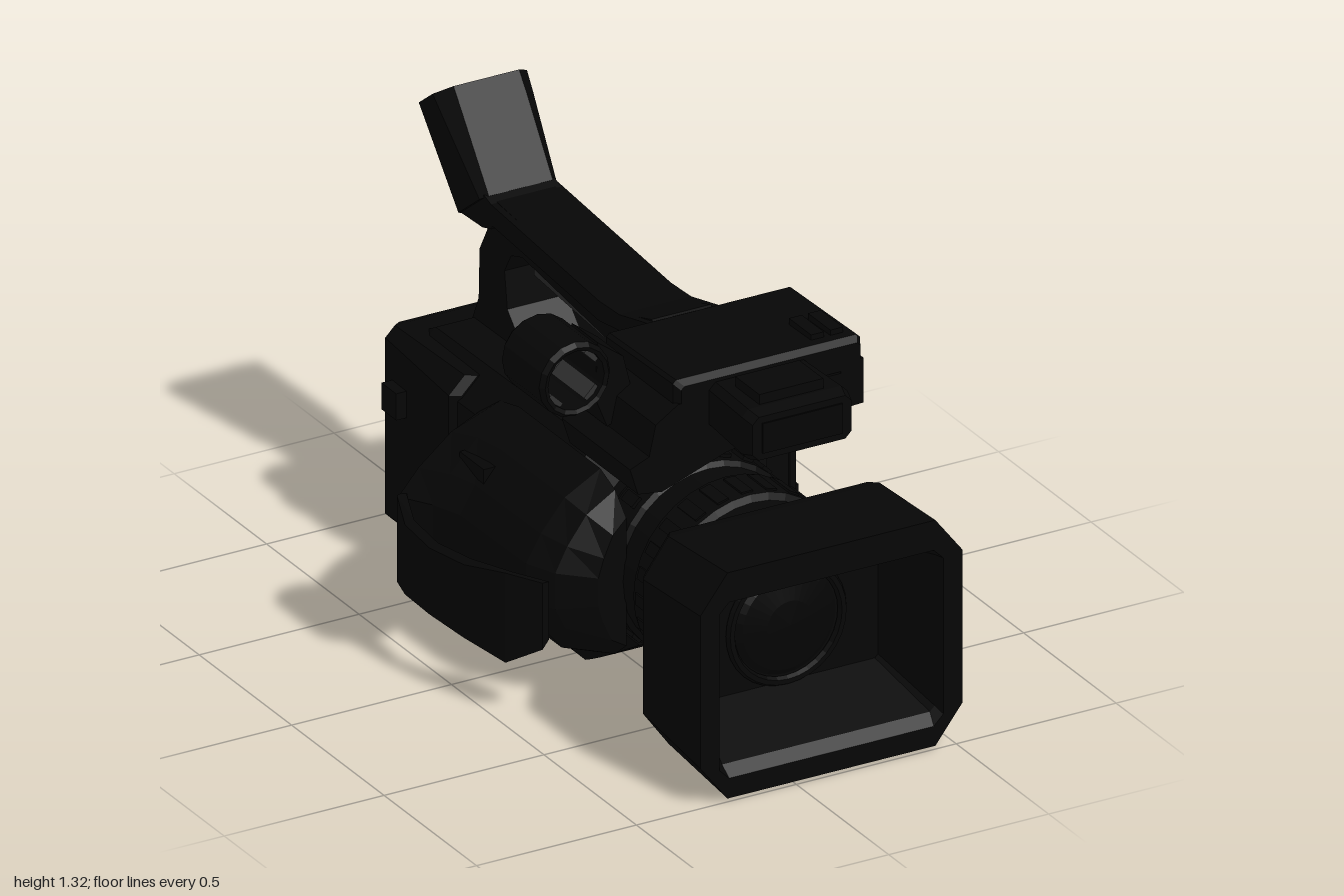
import * as THREE from 'three';

const mat = (name, color) => {
  const m = new THREE.MeshStandardMaterial({ color, flatShading: true });
  m.name = name;
  return m;
};

export function createModel() {
  const root = new THREE.Group();
  const black = mat('black plastic', 0x060606);
  const dark = mat('dark trim', 0x050505);
  const glass = mat('lens glass', 0x040404);
  const grey = mat('grey trim', 0x323232);

  const add = (name, geo, m = black, x = 0, y = 0, z = 0) => {
    const mesh = new THREE.Mesh(geo, m);
    mesh.name = name;
    mesh.position.set(x, y, z);
    root.add(mesh);
    return mesh;
  };
  // Box given by its extents
  const box = (name, x0, x1, y0, y1, z0, z1, m = black) =>
    add(name, new THREE.BoxGeometry(x1 - x0, y1 - y0, z1 - z0), m, (x0 + x1) / 2, (y0 + y1) / 2, (z0 + z1) / 2);

  // Rectangle with cut corners, counter-clockwise seen from the front
  const oct = (z, x0, x1, y0, y1, c, d = c) => [
    [x0 + c, y0, z], [x1 - c, y0, z], [x1, y0 + d, z], [x1, y1 - d, z],
    [x1 - c, y1, z], [x0 + c, y1, z], [x0, y1 - d, z], [x0, y0 + d, z]];
  // Skin over a row of rings, closed at both ends
  const loft = (rings) => {
    const pos = [];
    const tri = (a, b, c) => pos.push(...a, ...b, ...c);
    const n = rings[0].length;
    for (let i = 0; i < rings.length - 1; i++) {
      for (let j = 0; j < n; j++) {
        const k = (j + 1) % n, p = rings[i], q = rings[i + 1];
        tri(p[j], p[k], q[k]);
        tri(p[j], q[k], q[j]);
      }
    }
    const first = rings[0], last = rings[rings.length - 1];
    for (let j = 1; j < n - 1; j++) {
      tri(first[0], first[j + 1], first[j]);
      tri(last[0], last[j], last[j + 1]);
    }
    const g = new THREE.BufferGeometry();
    g.setAttribute('position', new THREE.Float32BufferAttribute(pos, 3));
    g.computeVertexNormals();
    return g;
  };
  const shapeOf = (pts) => new THREE.Shape(pts.map((p) => new THREE.Vector2(p[0], p[1])));
  // Side outline [z, y] extruded across x
  const acrossX = (pts, x0, x1) =>
    new THREE.ExtrudeGeometry(shapeOf(pts), { depth: x1 - x0, bevelEnabled: false }).rotateY(-Math.PI / 2).translate(x1, 0, 0);
  // Front outline [x, y] extruded along z
  const alongZ = (pts, z0, z1) =>
    new THREE.ExtrudeGeometry(shapeOf(pts), { depth: z1 - z0, bevelEnabled: false }).translate(0, 0, z0);
  // Profile [radius, z] turned around the z axis
  const turned = (pts, n) =>
    new THREE.LatheGeometry(pts.map((p) => new THREE.Vector2(p[0], p[1])), n).rotateX(Math.PI / 2);

  // Main body
  add('body', loft([
    oct(-0.83, -0.19, 0.50, 0.06, 0.62, 0.08), oct(-0.76, -0.2, 0.51, 0, 0.66, 0.09),
    oct(0.05, -0.2, 0.51, 0, 0.67, 0.09), oct(0.09, -0.2, 0.51, 0.02, 0.66, 0.09),
    oct(0.11, -0.19, 0.42, 0.03, 0.65, 0.1), oct(0.17, -0.17, 0.39, 0.07, 0.645, 0.16)]));
  add('battery', loft([
    oct(-0.89, -0.18, 0.24, 0.06, 0.63, 0.03), oct(-0.86, -0.21, 0.28, 0.05, 0.64, 0.03),
    oct(-0.5, -0.22, 0.28, 0.05, 0.64, 0.05), oct(-0.48, -0.19, 0.28, 0.05, 0.64, 0.05)]));
  box('rearPanel', 0.28, 0.515, 0.1, 0.56, -0.82, -0.78, dark);
  box('rearSeam', -0.1, 0.18, 0.12, 0.52, -0.895, -0.88, dark);
  box('strapLug', -0.245, -0.2, 0.42, 0.5, -0.82, -0.74);
  box('sidePanel', 0.5, 0.52, 0.12, 0.53, -0.5, 0.1);
  box('screenDoor', 0.5, 0.526, 0.28, 0.47, -0.48, -0.14, dark);
  box('screenInset', 0.5, 0.531, 0.3, 0.45, -0.33, -0.14);
  for (const y of [0.43, 0.33]) {
    add('sideButton', new THREE.CylinderGeometry(0.03, 0.03, 0.02, 16).rotateZ(Math.PI / 2), black, 0.522, y, -0.41);
  }
  for (const z of [0.07, -0.02]) box('sideSwitch', 0.51, 0.533, 0.35, 0.39, z - 0.02, z + 0.02, dark);

  // Lens barrel with stepped rings
  const lx = 0.11, ly = 0.37;
  add('lensBarrel', turned([
    [0, 0.05], [0.26, 0.05], [0.26, 0.14], [0.275, 0.14], [0.275, 0.17], [0.25, 0.17], [0.25, 0.21],
    [0.285, 0.22], [0.285, 0.32], [0.27, 0.33], [0.27, 0.42], [0.29, 0.43], [0.29, 0.56],
    [0.27, 0.57], [0.26, 0.7], [0, 0.7]], 32), black, lx, ly);
  for (let i = 0; i < 24; i++) {
    const a = (i / 24) * Math.PI * 2;
    for (const [z, d] of [[0.495, 0.1], [0.27, 0.06]]) {
      const rib = add('ringRib', new THREE.BoxGeometry(0.02, 0.035, d), black,
        lx + Math.cos(a) * 0.284, ly + Math.sin(a) * 0.284, z);
      rib.rotation.z = a;
    }
  }

  // Rectangular hood, hollow at the front
  add('lensHood', loft([
    oct(0.66, -0.28, 0.5, 0.055, 0.665, 0.08, 0.11), oct(0.69, -0.3, 0.52, 0.045, 0.67, 0.08, 0.11),
    oct(1, -0.3, 0.52, 0.01, 0.69, 0.085, 0.11), oct(1, -0.24, 0.46, 0.07, 0.6, 0.03),
    oct(0.97, -0.23, 0.45, 0.1, 0.585, 0.015), oct(0.75, -0.17, 0.4, 0.18, 0.54, 0.01)]));
  add('lensRim', new THREE.TorusGeometry(0.175, 0.014, 6, 32), black, lx, ly - 0.01, 0.755);
  add('frontLens', turned([[0.165, 0.745], [0.14, 0.762], [0.07, 0.775], [0, 0.78]], 32), glass, lx, ly - 0.01);

  // Hand grip on the right side
  const gripSide = [[-0.15, 0.65], [-0.27, 0.59], [-0.35, 0.5], [-0.4, 0.42], [-0.4, 0.3], [-0.36, 0.23], [-0.28, 0.14], [-0.15, 0.1]];
  add('handGrip', loft([[-0.4, 0.65, 0.8], [-0.34, 1.28, 0.92], [-0.24, 1.08, 1], [-0.15, 0.95, 1], [0.2, 0.93, 1],
    [0.28, 0.75, 0.9], [0.34, 0.35, 0.7]].map(([z, sx, sy]) =>
    gripSide.map(([x, y]) => [-0.15 + (x + 0.15) * sx, 0.35 + (y - 0.35) * sy, z]))));
  box('gripControl', -0.33, -0.28, 0.5, 0.555, -0.25, -0.12, dark);

  // Strap band around the hand, narrowing toward its outermost point and its ends
  const outer = [[-0.4, 0.32], [-0.47, 0.24], [-0.52, 0.1], [-0.54, -0.05], [-0.53, -0.2], [-0.48, -0.33], [-0.4, -0.37]];
  const inner = outer.map(([x, z]) => [x + 0.025, z * 0.97]).reverse();
  const strap = new THREE.ExtrudeGeometry(shapeOf([...outer, ...inner].map(([x, z]) => [x, -z])),
    { depth: 1, bevelEnabled: false }).rotateX(-Math.PI / 2);
  const sp = strap.attributes.position;
  for (let i = 0; i < sp.count; i++) {
    const t = Math.max(0, -0.47 - sp.getX(i)) / 0.07;
    const s = Math.max(0, sp.getX(i) + 0.47) / 0.1;
    sp.setY(i, sp.getY(i) > 0.5 ? 0.43 - 0.03 * t - 0.02 * s : 0.16 + 0.04 * t + 0.08 * s);
  }
  strap.computeVertexNormals();
  add('handStrap', strap);

  // Carrying handle with finger opening
  add('carryHandle', acrossX([
    [0.05, 0.63], [0.2, 0.84], [0.27, 0.86], [0.27, 1.03], [0.2, 1.06], [0.06, 1.015], [-0.05, 1.01], [-0.64, 1.06],
    [-0.68, 0.97], [-0.73, 0.88], [-0.735, 0.73], [-0.78, 0.63], [-0.46, 0.63],
    [-0.5, 0.68], [-0.58, 0.76], [-0.595, 0.87], [-0.56, 0.93], [-0.5, 0.95], [-0.05, 0.9],
    [0.05, 0.9], [0.09, 0.87], [0.09, 0.83], [-0.04, 0.66], [-0.04, 0.63]], 0.01, 0.195));
  add('handleTop', acrossX([[0.24, 1], [0.24, 1.065], [0.06, 1.02], [-0.05, 1.015], [-0.66, 1.06],
    [-0.68, 1], [-0.05, 0.955]], -0.01, 0.215));
  add('handlePad', acrossX([[-0.06, 0.875], [-0.06, 0.92], [-0.47, 0.955], [-0.47, 0.905]], 0.03, 0.2), grey);

  // Viewfinder, tilted up at the back
  add('viewfinderNeck', acrossX([[-0.61, 1.05], [-0.63, 0.985], [-0.68, 0.97], [-0.8, 0.965], [-0.78, 1.05], [-0.67, 1.07]], -0.01, 0.21));
  const eye = add('viewfinder', loft([
    oct(0.02, -0.12, 0.12, -0.09, 0.094, 0.02), oct(0.27, -0.14, 0.145, -0.092, 0.092, 0.04),
    oct(0.335, -0.145, 0.15, -0.092, 0.092, 0.045), oct(0.335, -0.09, 0.09, -0.05, 0.05, 0.02),
    oct(0.3, -0.07, 0.07, -0.04, 0.04, 0.01)]), black, 0.1, 0.998, -0.722);
  eye.rotation.x = -2.228;
  const pane = add('viewfinderGlass', new THREE.PlaneGeometry(0.1, 0.05), glass, 0.1, 0.998 + 0.302 * 0.791, -0.722 - 0.302 * 0.612);
  pane.rotation.x = -2.228;

  // Control head at the front of the handle
  add('headTop', loft([oct(0.24, -0.155, 0.43, 0.995, 1.075, 0.01), oct(0.6, -0.155, 0.43, 0.995, 1.085, 0.01),
    oct(0.62, -0.14, 0.42, 0.995, 1.07, 0.01)]));
  add('headLower', alongZ([[-0.3, 0.86], [-0.275, 0.78], [-0.2, 0.77], [0, 0.84], [0.2, 0.875], [0.43, 0.885],
    [0.43, 1.02], [0.36, 1.02], [0.36, 0.99], [0.27, 0.99], [0.27, 1.02], [-0.15, 1.02], [-0.22, 0.975], [-0.24, 0.885]], 0.25, 0.62));
  for (const x of [0.315, 0.375]) box('headKnob', x - 0.02, x + 0.02, 1.06, 1.1, 0.45, 0.57);
  add('microphoneBlock', loft([oct(0.55, -0.05, 0.26, 0.92, 1.06, 0.02), oct(0.81, -0.06, 0.27, 0.91, 1.06, 0.02),
    oct(0.85, -0.05, 0.26, 0.92, 1.05, 0.02)]));
  box('microphoneCap', 0, 0.2, 1.04, 1.09, 0.67, 0.8);
  box('microphoneGrille', -0.02, 0.23, 0.94, 1.03, 0.845, 0.855, dark);

  // Ring holder for an outside microphone
  const mx = -0.37, my = 1.075;
  add('microphoneArm', alongZ([[-0.29, 0.99], [-0.25, 0.89], [-0.16, 0.93], [-0.2, 1.09], [-0.28, 1.15]], 0.27, 0.41));
  add('microphoneRing', turned([[0.088, 0.23], [0.1, 0.225], [0.111, 0.24], [0.111, 0.44], [0.1, 0.455], [0.088, 0.45],
    [0.088, 0.23]], 16), black, mx, my);
  for (let i = 0; i < 4; i++) {
    const a = Math.PI / 4 + (i * Math.PI) / 2;
    const pad = add('ringPad', new THREE.BoxGeometry(0.02, 0.05, 0.19), grey, mx + Math.cos(a) * 0.081, my + Math.sin(a) * 0.081, 0.34);
    pad.rotation.z = a;
  }
  return root;
}
